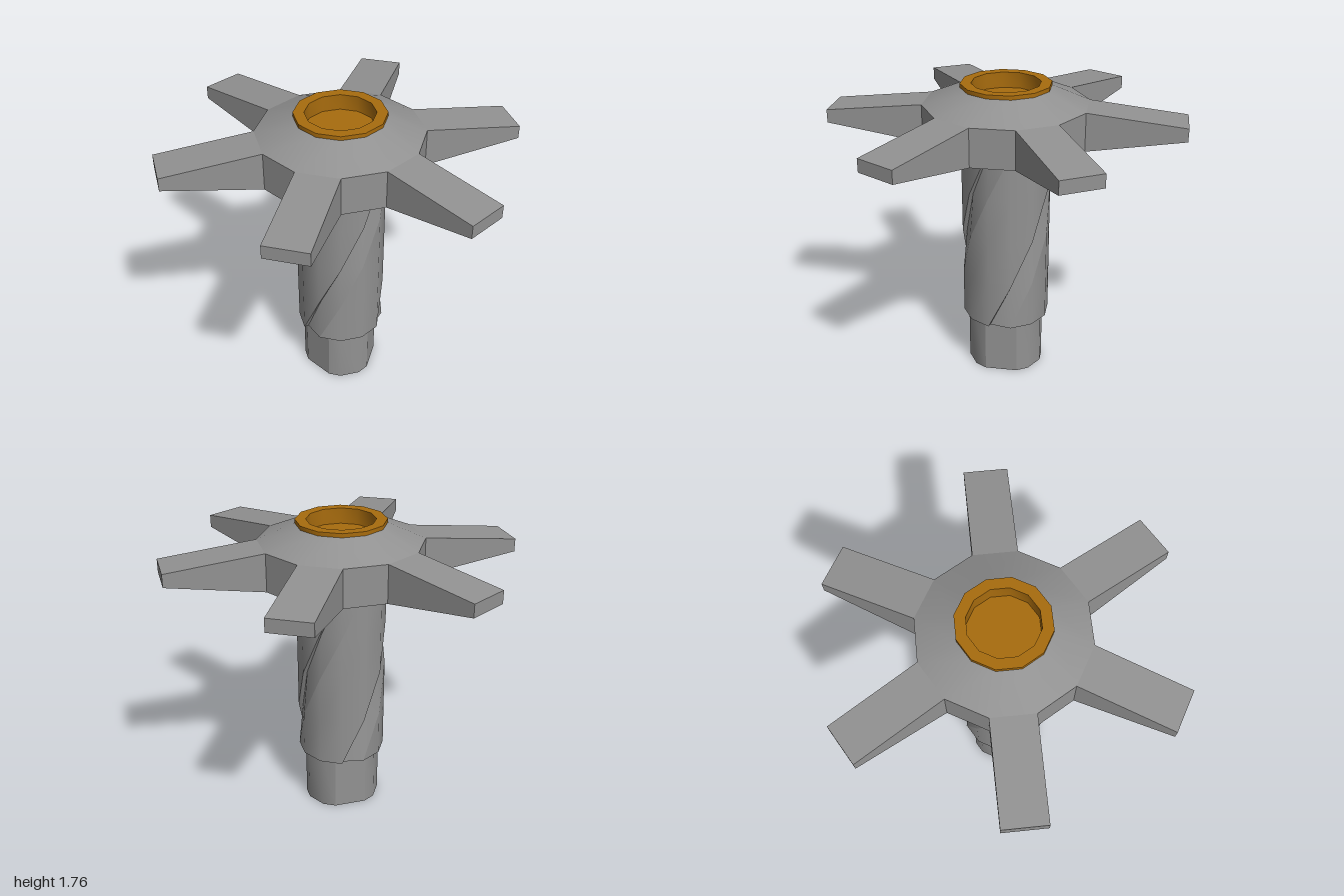
import * as THREE from 'three';
import { mergeGeometries, toCreasedNormals } from 'three/addons/utils/BufferGeometryUtils.js';

const SIDES = 12;
const polar = (r, deg, y) => {
  const a = THREE.MathUtils.degToRad(deg);
  return [r * Math.cos(a), y, r * Math.sin(a)];
};

function indexed(points, index) {
  const g = new THREE.BufferGeometry();
  g.setAttribute('position', new THREE.Float32BufferAttribute(points.flat(), 3));
  g.setIndex(index);
  g.computeVertexNormals();
  return g;
}

// One smooth wall strip: profile is [radius, degrees] pairs, twisted by a fixed step per level
function strip(profile, levels, twist) {
  const points = [], index = [], n = profile.length;
  levels.forEach((y, i) => profile.forEach(([r, deg]) => points.push(polar(r, deg + twist * i, y))));
  for (let i = 0; i < levels.length - 1; i++) {
    for (let j = 0; j < n - 1; j++) {
      const a = i * n + j, b = a + 1, d = a + n, c = d + 1;
      index.push(a, d, c, a, c, b);
    }
  }
  return indexed(points, index);
}

// Three-fold column made of separate strips, closed at the bottom
function column(runs, levels, twist) {
  const parts = [], outline = [];
  for (let k = 0; k < 3; k++) {
    for (const run of runs) {
      const turned = run.map(([r, deg]) => [r, deg + 120 * k]);
      parts.push(strip(turned, levels, twist));
      outline.push(...turned.slice(0, -1));
    }
  }
  const points = [[0, levels[0], 0], ...outline.map(([r, deg]) => polar(r, deg, levels[0]))];
  const index = [];
  for (let i = 0; i < outline.length; i++) index.push(0, i + 1, ((i + 1) % outline.length) + 1);
  parts.push(indexed(points, index));
  return mergeGeometries(parts);
}

// Arm along +x: a box that thins toward its tip
function armGeometry() {
  const inner = 0.47 * Math.cos(Math.PI / SIDES), half = 0.47 * Math.sin(Math.PI / SIDES);
  const g = new THREE.BoxGeometry(2, 2, 2);
  const p = g.attributes.position;
  for (let i = 0; i < p.count; i++) {
    const tip = p.getX(i) > 0, up = p.getY(i) > 0;
    const y = tip ? (up ? 1.587 : 1.512) : (up ? 1.645 : 1.425);
    p.setXYZ(i, tip ? 1.003 : inner, y, p.getZ(i) * half);
  }
  g.computeVertexNormals();
  return g;
}

export function createModel() {
  const steel = new THREE.MeshStandardMaterial({ color: 0x929292 });
  steel.name = 'grey steel';
  const bronze = new THREE.MeshStandardMaterial({ color: 0xa86c0e });
  bronze.name = 'bronze';

  const model = new THREE.Group();
  model.name = 'spokedRotor';
  const add = (name, geometry, material) => {
    const mesh = new THREE.Mesh(geometry, material);
    mesh.name = name;
    model.add(mesh);
    return mesh;
  };

  // Lower stub: twelve-sided post with three flats
  add('lowerStub', column([
    [[0.22, 79.5], [0.22, 130.5]],
    [[0.22, 130.5], [0.227, 150], [0.227, 180], [0.22, 199.5]],
  ], [0, 0.33], 0), steel);

  // Shaft: three stepped grooves that wind a third of a turn
  const bottom = 0.33, top = 1.425;
  const levels = [0, 1, 2, 3, 4].map(i => bottom + (top - bottom) * i / 4);
  add('flutedShaft', column([
    [[0.257, 90], [0.23, 120]],
    [[0.23, 120], [0.257, 120]],
    [[0.257, 120], [0.257, 150], [0.257, 180], [0.257, 210]],
  ], levels, -30), steel);

  // Hub plate and its sloping top
  const plate = toCreasedNormals(new THREE.CylinderGeometry(0.47, 0.47, 0.22, SIDES), 0.1);
  add('hubPlate', plate, steel).position.y = 1.535;
  const cone = new THREE.CylinderGeometry(0.256, 0.47, 0.092, SIDES, 1, true);
  add('hubCone', cone, steel).position.y = 1.691;

  // Six tapering arms
  const arm = armGeometry();
  for (let i = 0; i < 6; i++) {
    add('arm' + (i + 1), arm, steel).rotation.y = -THREE.MathUtils.degToRad(15 + 60 * i);
  }

  // Cap ring with a round recess
  const profile = [[0.256, 1.735], [0.256, 1.76], [0.195, 1.76], [0.195, 1.67], [0, 1.67]]
    .map(([x, y]) => new THREE.Vector2(x, y));
  add('capRing', toCreasedNormals(new THREE.LatheGeometry(profile, SIDES), 0.7), bronze);

  return model;
}
